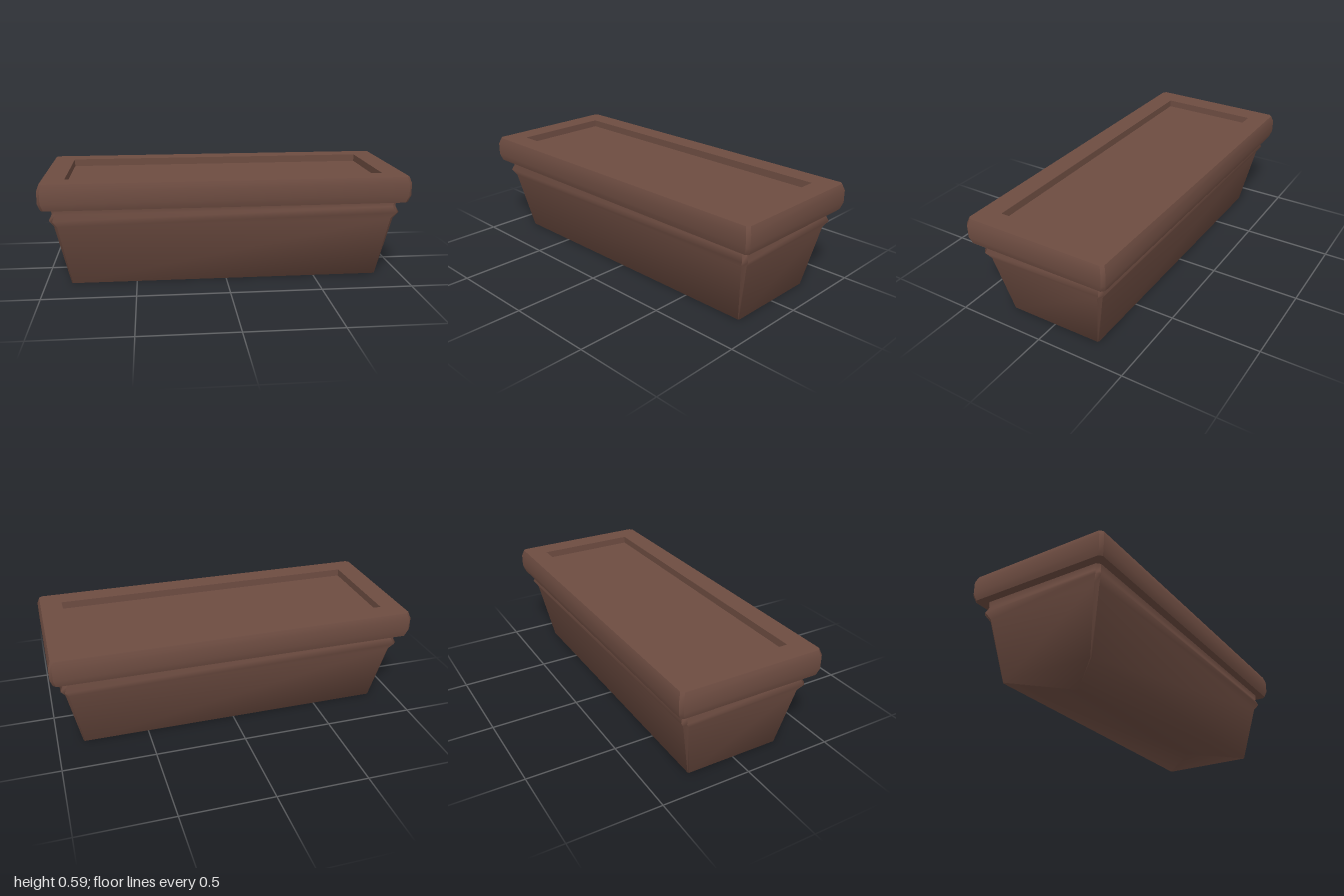
import * as THREE from 'three';

// One cross-section: a rectangle with chamfered corners at height y
function ring([y, hx, hz, c]) {
  return [
    [-hx + c, hz], [hx - c, hz], [hx, hz - c], [hx, -hz + c],
    [hx - c, -hz], [-hx + c, -hz], [-hx, -hz + c], [-hx, hz - c],
  ].map(([x, z]) => [x, y, z]);
}

// Joins cross-sections; smooth along the profile, creased between the eight sides
function loft(name, sections, material) {
  const rings = sections.map(ring);
  const positions = [], index = [];
  for (let k = 0; k < 8; k++) {
    const base = positions.length / 3;
    rings.forEach((r, i) => {
      positions.push(...r[k], ...r[(k + 1) % 8]);
      if (i === 0) return;
      const a = base + (i - 1) * 2;
      index.push(a, a + 1, a + 3, a, a + 3, a + 2);
    });
  }
  const geometry = new THREE.BufferGeometry();
  geometry.setAttribute('position', new THREE.Float32BufferAttribute(positions, 3));
  geometry.setIndex(index);
  geometry.computeVertexNormals();
  const mesh = new THREE.Mesh(geometry, material);
  mesh.name = name;
  return mesh;
}

export function createModel() {
  const group = new THREE.Group();
  group.name = 'planterBox';
  const brown = new THREE.MeshStandardMaterial({ color: 0x6d4c41 });
  brown.name = 'brown clay';

  // Sections are [height, half width, half depth, corner chamfer]
  group.add(
    // Closed base, tapered walls, moulded band and neck
    loft('body', [
      [0, 0.59, 0, 0],
      [0, 0.86, 0.272, 0.006],
      [0.345, 0.93, 0.343, 0.018],
      [0.382, 0.953, 0.367, 0.02],
      [0.415, 0.937, 0.353, 0.018],
      [0.448, 0.94, 0.357, 0.018],
    ], brown),
    loft('rimUnderside', [[0.448, 0.94, 0.357, 0.018], [0.448, 0.987, 0.401, 0.016]], brown),
    loft('rim', [
      [0.448, 0.987, 0.401, 0.016],
      [0.487, 1, 0.413, 0.016],
      [0.555, 1, 0.413, 0.016],
      [0.591, 0.987, 0.401, 0.016],
    ], brown),
    loft('rimTop', [[0.591, 0.987, 0.401, 0.016], [0.591, 0.867, 0.285, 0]], brown),
    // Shallow recess with the filling below the rim
    loft('innerWall', [[0.591, 0.867, 0.285, 0], [0.55, 0.867, 0.285, 0]], brown),
    loft('filling', [[0.55, 0.867, 0.285, 0], [0.55, 0.58, 0, 0]], brown),
  );
  return group;
}
